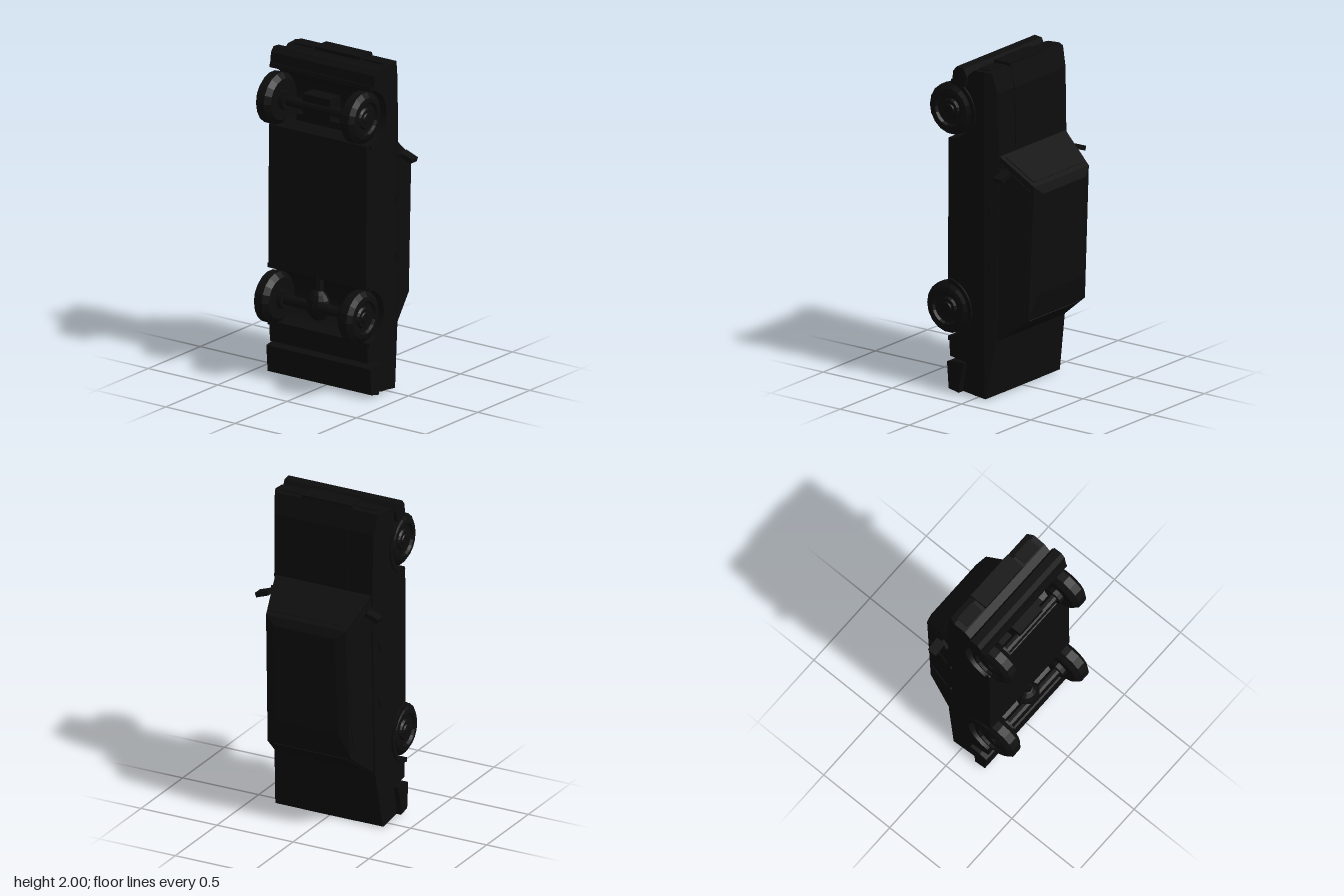
import * as THREE from 'three';

// The car stands on its tail: nose toward +y, underside toward +z, roof toward -z.
export function createModel() {
  const car = new THREE.Group();
  car.name = 'car';
  const paint = new THREE.MeshStandardMaterial({ color: 0x0d0d0d, flatShading: true });

  const add = (name, geometry, x = 0, y = 0, z = 0, parent = car) => {
    const mesh = new THREE.Mesh(geometry, paint);
    mesh.name = name;
    mesh.position.set(x, y, z);
    parent.add(mesh);
    return mesh;
  };
  const box = (name, w, h, d, x, y, z) => add(name, new THREE.BoxGeometry(w, h, d), x, y, z);

  // Side profile in (height, length), spread across the car to a half width given by a rule
  const prism = (name, outline, halfWidth) => {
    const shape = outline instanceof THREE.Shape
      ? outline : new THREE.Shape(outline.map(p => new THREE.Vector2(...p)));
    const geo = new THREE.ExtrudeGeometry(shape, { depth: 1, bevelEnabled: false, curveSegments: 14 });
    geo.rotateY(Math.PI / 2);
    const p = geo.attributes.position;
    for (let i = 0; i < p.count; i++) {
      const w = halfWidth(-p.getZ(i), p.getY(i));
      p.setX(i, p.getX(i) > 0.5 ? w : -w);
    }
    geo.computeVertexNormals();
    return add(name, geo);
  };

  // Lower body with open wheel arches
  const wheels = [
    { name: 'rear', h: -0.22, y: 0.505, arch: 0.163 },
    { name: 'front', h: -0.2, y: 1.71, arch: 0.168 },
  ];
  const [rear, front] = wheels;
  const lower = new THREE.Shape();
  lower.moveTo(0.06, 0.006);
  lower.lineTo(-0.1, 0.025);
  lower.lineTo(-0.07, 0.2);
  lower.lineTo(-0.195, 0.22);
  lower.lineTo(-0.2, rear.y - 0.162);
  lower.absarc(rear.h, rear.y, rear.arch, -1.448, 1.448, false);
  lower.lineTo(-0.21, 0.67);
  lower.lineTo(-0.205, 1.54);
  lower.absarc(front.h, front.y, front.arch, -1.57, 1.25, false);
  lower.lineTo(-0.13, 1.885);
  lower.lineTo(-0.06, 1.945);
  lower.lineTo(-0.02, 1.98);
  lower.lineTo(0.06, 1.985);
  prism('lowerBody', lower, h => 0.357 - 0.02 * (0.06 - h));

  // Shoulders, bonnet and boot deck
  const shoulder = h => 0.357 - 0.45 * (h - 0.06);
  prism('upperBody', [[0.06, 0.006], [0.066, 0.006], [0.12, 0.36], [0.137, 1.48],
    [0.128, 1.86], [0.1, 1.98], [0.06, 1.985]], shoulder);
  prism('bonnetBulge', [[0.08, 1.97], [0.1, 1.99], [0.133, 1.86], [0.141, 1.5], [0.12, 1.5]],
    () => 0.165);

  // Cabin: sloped sides and a chamfered roof
  const side = h => 0.317 - 0.255 * (h - 0.13);
  const eave = y => 0.31 + 0.0432 * (y - 0.51);
  prism('cabin', [[0.115, 0.355], [0.31, 0.51], [0.345, 1.32], [0.13, 1.485]], side);
  prism('roof', [[0.31, 0.51], [0.34, 0.66], [0.368, 1.27], [0.345, 1.32]],
    (h, y) => side(eave(y)) - 2.5 * (h - eave(y)));

  // Windows
  const glass = h => side(h) + 0.003;
  prism('frontDoorWindow', [[0.15, 1.1], [0.32, 1.1], [0.325, 1.29], [0.15, 1.43]], glass);
  prism('rearDoorWindow', [[0.15, 0.73], [0.305, 0.73], [0.318, 1.07], [0.15, 1.07]], glass);
  prism('quarterWindow', [[0.15, 0.47], [0.285, 0.56], [0.3, 0.7], [0.15, 0.7]], glass);
  const inset = h => side(h) - 0.03;
  prism('windscreen', [[0.155, 1.466], [0.157, 1.47], [0.325, 1.341], [0.32, 1.335]], inset);
  prism('rearWindow', [[0.14, 0.375], [0.143, 0.371], [0.296, 0.493], [0.29, 0.5]], inset);

  // Bumpers
  prism('frontBumper', [[-0.165, 1.88], [-0.155, 1.96], [-0.13, 1.99], [-0.08, 1.985],
    [-0.06, 1.94], [-0.07, 1.875]], () => 0.374);
  prism('rearBumper', [[-0.2, 0.19], [-0.188, 0.03], [-0.115, 0.015], [-0.11, 0.08],
    [-0.078, 0.2], [-0.15, 0.2]], () => 0.374);

  // Grille, lamps and plates
  box('grille', 0.33, 0.03, 0.115, 0, 1.985, -0.04);
  box('bootPanel', 0.36, 0.02, 0.1, 0, 0.012, -0.01);
  for (const s of [-1, 1]) {
    box('headlamp', 0.13, 0.02, 0.075, s * 0.255, 1.98, -0.03);
    box('tailLamp', 0.11, 0.02, 0.085, s * 0.275, 0.012, -0.01);

    // Door mirrors
    const mirror = box('mirror', 0.088, 0.028, 0.06, s * 0.36, 1.378, -0.188);
    mirror.rotation.z = -s * 0.35;
    const arm = box('mirrorArm', 0.02, 0.025, 0.06, s * 0.322, 1.395, -0.155);
    arm.rotation.y = s * 0.5;

    // Door handles
    for (const y of [0.8, 1.15]) box('doorHandle', 0.012, 0.05, 0.014, s * 0.347, y, -0.09);
  }

  // Wheel flares, wheels and axles
  const tyre = new THREE.LatheGeometry([[0.03, -0.055], [0.1, -0.055], [0.125, -0.055],
    [0.155, -0.025], [0.155, 0.03], [0.125, 0.052], [0.1, 0.055], [0.092, 0.038],
    [0.065, 0.036], [0.055, 0.048], [0.035, 0.048], [0.03, 0.055], [0, 0.055]]
    .map(p => new THREE.Vector2(...p)), 18);
  for (const { name, h, y, arch } of wheels) {
    const flare = new THREE.Shape();
    flare.absarc(h, y, arch + 0.026, -1.45, 1.45, false);
    flare.absarc(h, y, arch, 1.45, -1.45, true);
    prism(name + 'WheelFlares', flare, () => 0.366);
    for (const s of [-1, 1]) {
      const wheel = add(name + 'Wheel', tyre, s * 0.302, y, -h);
      wheel.rotation.z = -s * Math.PI / 2;
      const drum = add(name + 'Brake', new THREE.CylinderGeometry(0.06, 0.06, 0.04, 12), s * 0.235, y, -h);
      drum.rotation.z = Math.PI / 2;
    }
    const axle = add(name + 'Axle', new THREE.CylinderGeometry(0.03, 0.03, 0.5, 10), 0, y, -h + 0.005);
    axle.rotation.z = Math.PI / 2;
  }
  const diff = add('differential', new THREE.SphereGeometry(0.08, 12, 8), 0, 0.51, 0.2);
  diff.scale.set(1, 1.2, 0.75);
  add('driveShaft', new THREE.CylinderGeometry(0.025, 0.03, 0.14, 8), 0, 0.62, 0.19);
  box('frontSubframe', 0.2, 0.13, 0.1, 0, 1.715, 0.17);
  box('crossMember', 0.36, 0.04, 0.06, 0, 1.61, 0.14);

  return car;
}
